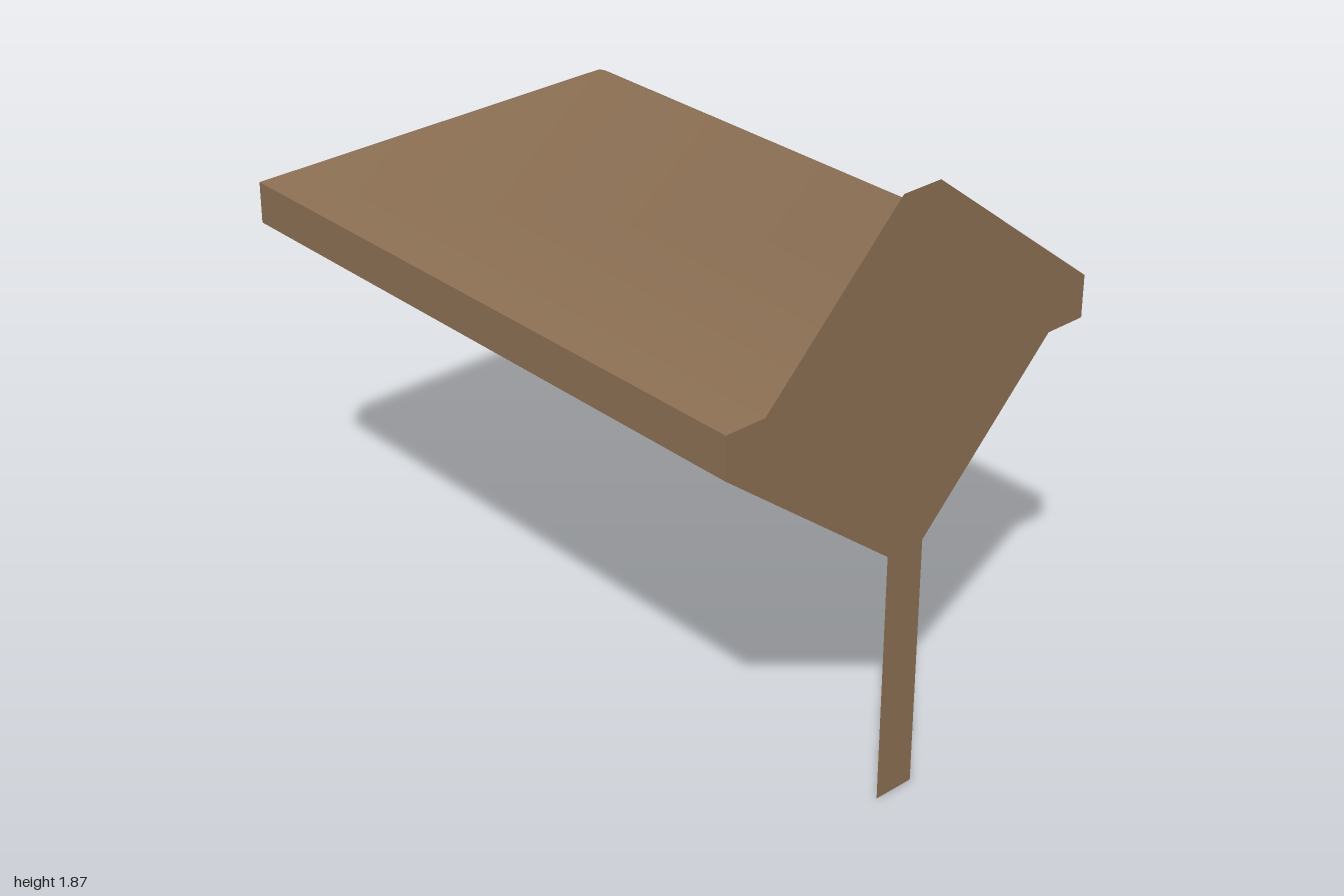
import * as THREE from 'three';
import { toCreasedNormals } from 'three/addons/utils/BufferGeometryUtils.js';

const TOP = 1.4, BOTTOM = 1.27, DEPTH = 0.667;

// Slab cross-section: square front, back corners rounded by r, back face at z = -back
function section(x, r, back) {
  const pts = [[x, BOTTOM, DEPTH], [x, TOP, DEPTH]];
  const steps = 5;
  for (let i = 0; i <= steps; i++) {
    const a = (i / steps) * Math.PI / 2;
    pts.push([x, TOP - r * (1 - Math.cos(a)), -back + r * (1 - Math.sin(a))]);
  }
  for (let i = 0; i <= steps; i++) {
    const a = (i / steps) * Math.PI / 2;
    pts.push([x, BOTTOM + r * (1 - Math.sin(a)), -back + r * (1 - Math.cos(a))]);
  }
  return pts;
}

// Loft through the sections; the +x end is closed by the end panel
function loft(sections) {
  const n = sections[0].length, index = [];
  for (let s = 0; s < sections.length - 1; s++) {
    for (let j = 0; j < n; j++) {
      const a = s * n + j, b = s * n + (j + 1) % n;
      index.push(a, a + n, b + n, a, b + n, b);
    }
  }
  for (let k = 1; k < n - 1; k++) index.push(0, k, k + 1);
  const geo = new THREE.BufferGeometry();
  geo.setAttribute('position', new THREE.Float32BufferAttribute(sections.flat(2), 3));
  geo.setIndex(index);
  return toCreasedNormals(geo, 0.6);
}

export function createModel() {
  const group = new THREE.Group();
  const wood = new THREE.MeshStandardMaterial({ color: 0x907356, side: THREE.DoubleSide });
  wood.name = 'brown wood';

  // Slab whose back edge rounding grows towards -x
  const slab = new THREE.Mesh(loft([
    section(-1, 0.02, DEPTH - 0.014),
    section(-0.99, 0.025, DEPTH - 0.004),
    section(-0.97, 0.029, DEPTH),
    section(1, 0.002, DEPTH),
  ]), wood);
  slab.name = 'slab';
  group.add(slab);

  // Paper-thin end panel with a narrow leg, outlined as (-z, y)
  const outline = [
    [-0.067, 0], [0.067, 0], [0.067, 0.8], [0.533, BOTTOM], [DEPTH, BOTTOM], [DEPTH, TOP],
    [0.067, 1.867], [-0.067, 1.867], [-0.533, TOP], [-DEPTH, TOP], [-DEPTH, BOTTOM], [-0.067, 0.8],
  ];
  const shape = new THREE.Shape(outline.map(([u, v]) => new THREE.Vector2(u, v)));
  const panel = new THREE.Mesh(new THREE.ShapeGeometry(shape), wood);
  panel.name = 'endPanel';
  panel.rotation.y = Math.PI / 2;
  panel.position.x = 1;
  group.add(panel);

  return group;
}
